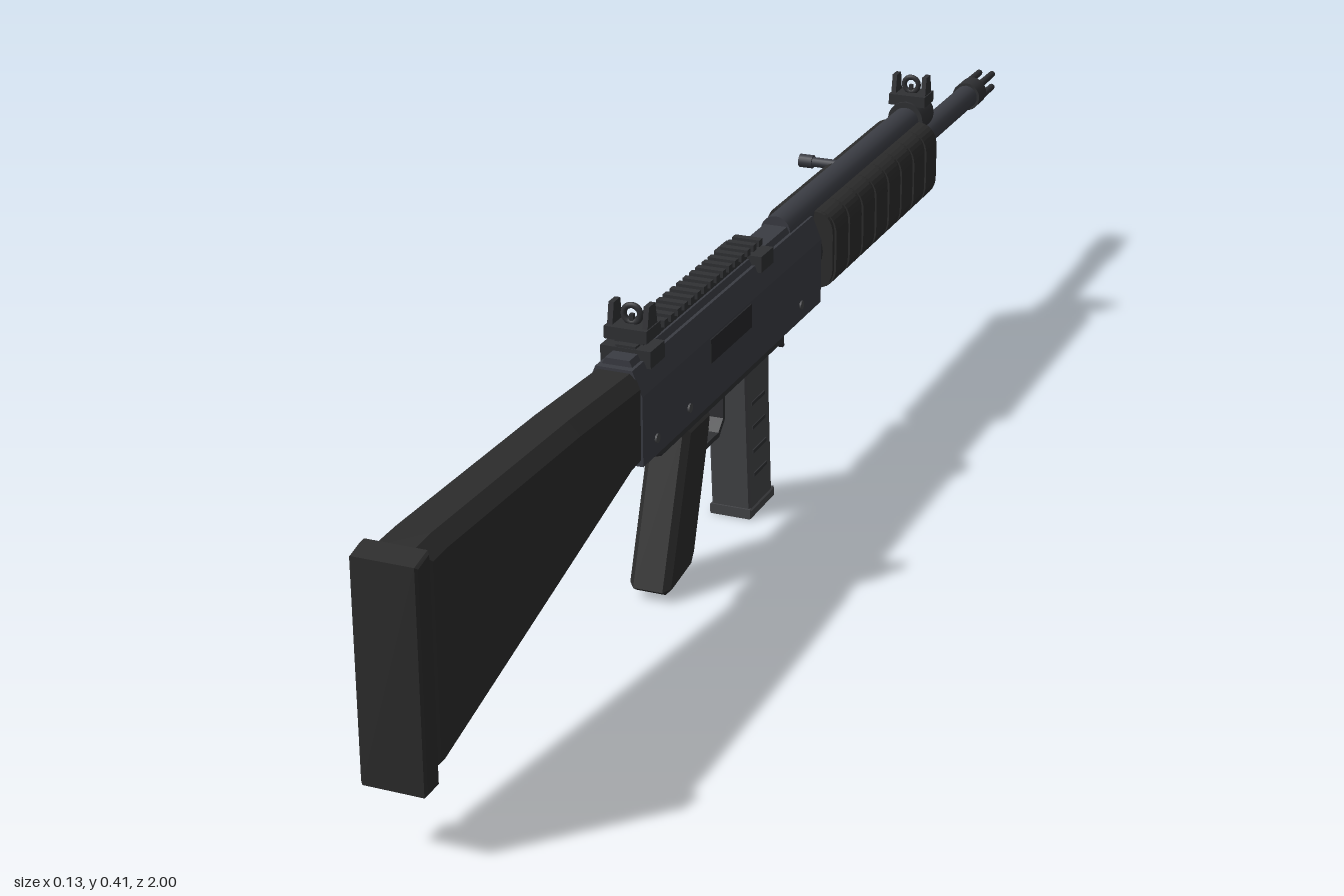
import * as THREE from 'three';

const mat = (color) => new THREE.MeshStandardMaterial({ color, side: THREE.DoubleSide });
const polymer = mat(0x2c2c2c), steel = mat(0x3a3c43), dark = mat(0x303134), magMat = mat(0x444548), portMat = mat(0x26272a);

export function createModel() {
  const root = new THREE.Group();
  const body = new THREE.Group();
  body.name = 'body';
  body.position.x = 0.014; // side handle makes the whole asymmetric
  root.add(body);

  const add = (name, geo, m, x = 0, y = 0, z = 0) => {
    const mesh = new THREE.Mesh(geo, m);
    mesh.name = name;
    mesh.position.set(x, y, z);
    body.add(mesh);
    return mesh;
  };
  const box = (name, w, h, d, m, x, y, z) => add(name, new THREE.BoxGeometry(w, h, d), m, x, y, z);
  // cylinder lying along z, from z0 to z1
  const rod = (name, r0, r1, z0, z1, m, x, y, seg = 20) =>
    add(name, new THREE.CylinderGeometry(r1, r0, Math.abs(z1 - z0), seg).rotateX(Math.PI / 2 * Math.sign(z1 - z0)), m, x, y, (z0 + z1) / 2);
  const shapeOf = (pts) => new THREE.Shape(pts.map(([a, b]) => new THREE.Vector2(a, b)));
  // side profile of [z, y] points, given a width along x and a chamfer
  const slab = (name, pts, width, bevel, m, x = 0) => {
    const geo = new THREE.ExtrudeGeometry(shapeOf(pts), {
      depth: width - 2 * bevel, bevelEnabled: bevel > 0, bevelThickness: bevel,
      bevelSize: bevel, bevelOffset: -bevel, bevelSegments: 1,
    });
    geo.translate(0, 0, -(width - 2 * bevel) / 2).rotateY(-Math.PI / 2);
    return add(name, geo, m, x);
  };
  // front section of [x, y] points, swept from z0 to z1
  const sweep = (name, shape, z0, z1, m) =>
    add(name, new THREE.ExtrudeGeometry(shape, { depth: z1 - z0, bevelEnabled: false, curveSegments: 8 }), m, 0, 0, z0);

  // Stock and butt pad
  slab('stock', [[0.975, 0.09], [0.975, 0.357], [0.93, 0.36], [0.6, 0.354], [0.42, 0.346], [0.42, 0.225], [0.46, 0.222], [0.95, 0.09]], 0.074, 0.016, polymer);
  slab('buttPad', [[1, 0.084], [1, 0.353], [0.97, 0.36], [0.97, 0.085]], 0.08, 0.003, polymer);

  // Receiver with chamfered top, lower frame and details
  sweep('receiver', shapeOf([[-0.037, 0.228], [0.037, 0.228], [0.037, 0.318], [0.024, 0.35], [-0.024, 0.35], [-0.037, 0.318]]), -0.165, 0.43, steel);
  sweep('topCover', shapeOf([[-0.022, 0.345], [0.022, 0.345], [0.016, 0.358], [-0.016, 0.358]]), -0.1, 0.42, steel);
  slab('lowerFrame', [[0.37, 0.23], [0.37, 0.215], [0.35, 0.208], [-0.04, 0.208], [-0.055, 0.2], [-0.055, 0.23]], 0.056, 0.003, dark);
  box('magazineCatch', 0.03, 0.02, 0.02, dark, 0, 0.213, -0.045);
  box('ejectionPort', 0.004, 0.032, 0.135, portMat, -0.037, 0.3, 0.157);
  box('sidePlate', 0.004, 0.032, 0.135, portMat, 0.037, 0.3, 0.157);
  for (const [z, y] of [[0.39, 0.25], [0.29, 0.25], [-0.09, 0.25]])
    add('pin', new THREE.CylinderGeometry(0.006, 0.006, 0.079, 12).rotateZ(Math.PI / 2), magMat, 0, y, z);

  // Pistol grip
  slab('grip', [[0.27, 0.212], [0.195, 0.212], [0.205, 0.17], [0.25, 0.035], [0.262, 0.018], [0.33, 0.008], [0.34, 0.015]], 0.056, 0.008, polymer);

  // Trigger and guard
  slab('trigger', [[0.18, 0.21], [0.165, 0.21], [0.167, 0.185], [0.155, 0.162], [0.162, 0.16], [0.174, 0.183]], 0.012, 0, dark);
  slab('triggerGuard', [[0.225, 0.158], [0.21, 0.144], [0.135, 0.144], [0.115, 0.162], [0.115, 0.212], [0.122, 0.212],
    [0.122, 0.165], [0.138, 0.151], [0.21, 0.151], [0.225, 0.165]], 0.024, 0, dark);

  // Magazine with ribs and floor plate
  slab('magazine', [[0.082, 0.215], [0.002, 0.215], [0, 0.15], [-0.01, 0.008], [0.066, 0.008], [0.075, 0.12]], 0.056, 0.003, magMat);
  slab('magazineFloor', [[0.069, 0.014], [-0.015, 0.014], [-0.015, 0], [0.069, 0]], 0.06, 0.002, magMat);
  for (let i = 0; i < 4; i++)
    box('magazineRib', 0.059, 0.005, 0.045, dark, 0, 0.06 + i * 0.035, 0.038 + i * 0.003 - 0.004);

  // Handguard: rounded section with raised side panels
  const rounded = (w, y0, y1, r) => {
    const s = new THREE.Shape();
    s.moveTo(-w + r, y0).lineTo(w - r, y0).quadraticCurveTo(w, y0, w, y0 + r);
    s.lineTo(w, y1 - r).quadraticCurveTo(w, y1, w - r, y1).lineTo(-w + r, y1);
    s.quadraticCurveTo(-w, y1, -w, y1 - r).lineTo(-w, y0 + r).quadraticCurveTo(-w, y0, -w + r, y0);
    return s;
  };
  sweep('handguard', rounded(0.048, 0.24, 0.352, 0.032), -0.61, -0.18, polymer);
  for (let i = 0; i < 8; i++)
    sweep('handguardBand', rounded(0.051, 0.239, 0.352, 0.034), -0.607 + i * 0.0535, -0.607 + i * 0.0535 + 0.046, polymer);
  rod('receiverTrunnion', 0.034, 0.034, -0.16, -0.185, dark, 0, 0.295);
  box('lowerRail', 0.026, 0.012, 0.1, dark, 0, 0.238, -0.425);
  for (let i = 0; i < 5; i++) box('lowerRailTooth', 0.034, 0.009, 0.011, dark, 0, 0.23, -0.385 - i * 0.02);

  // Gas tube, barrel, and pronged muzzle
  rod('gasTube', 0.021, 0.021, -0.09, -0.622, steel, 0, 0.35);
  rod('barrel', 0.018, 0.018, -0.15, -0.91, steel, 0, 0.305);
  rod('muzzleCollar', 0.022, 0.022, -0.9, -0.935, dark, 0, 0.305);
  for (let i = 0; i < 4; i++) {
    const a = Math.PI / 4 + i * Math.PI / 2;
    rod('muzzleProng', 0.006, 0.005, -0.93, -1, dark, Math.cos(a) * 0.015, 0.305 + Math.sin(a) * 0.015, 10);
  }

  // Charging handle
  const along = (name, r, x0, x1) =>
    add(name, new THREE.CylinderGeometry(r, r, x1 - x0, 16).rotateZ(Math.PI / 2), steel, (x0 + x1) / 2, 0.347, -0.39);
  along('chargingStem', 0.007, -0.065, -0.01);
  along('chargingKnob', 0.0095, -0.081, -0.061);

  // Top rail with teeth and end clamps
  box('railBase', 0.026, 0.014, 0.39, dark, 0, 0.359, 0.2);
  for (let i = 0; i < 19; i++) box('railTooth', 0.038, 0.009, 0.011, dark, 0, 0.37, 0.01 + i * 0.0205);
  for (const z of [0.022, 0.375]) box('railClamp', 0.066, 0.022, 0.042, dark, 0, 0.352, z);

  // Sights: base, two ears and a ring between them
  const sight = (name, z, d) => {
    box(name + 'Base', 0.056, 0.016, d, dark, 0, 0.38, z);
    for (const s of [-1, 1]) {
      const ear = slab(name + 'Ear', [[-d * 0.4, 0.375], [d * 0.4, 0.375], [d * 0.22, 0.415], [-d * 0.22, 0.415]], 0.007, 0, dark, s * 0.023);
      ear.position.z = z;
    }
    add(name + 'Ring', new THREE.TorusGeometry(0.011, 0.004, 8, 20), dark, 0, 0.4, z);
    box(name + 'Post', 0.005, 0.02, 0.006, dark, 0, 0.39, z);
  };
  sight('rearSight', 0.375, 0.042);
  sight('frontSight', -0.635, 0.04);

  // Front sight block wrapping the barrel and gas tube
  rod('gasBlockUpper', 0.027, 0.027, -0.61, -0.662, dark, 0, 0.352);
  rod('gasBlockLower', 0.024, 0.024, -0.6, -0.66, dark, 0, 0.305);
  box('gasBlockWeb', 0.034, 0.05, 0.045, dark, 0, 0.33, -0.635);

  return root;
}
